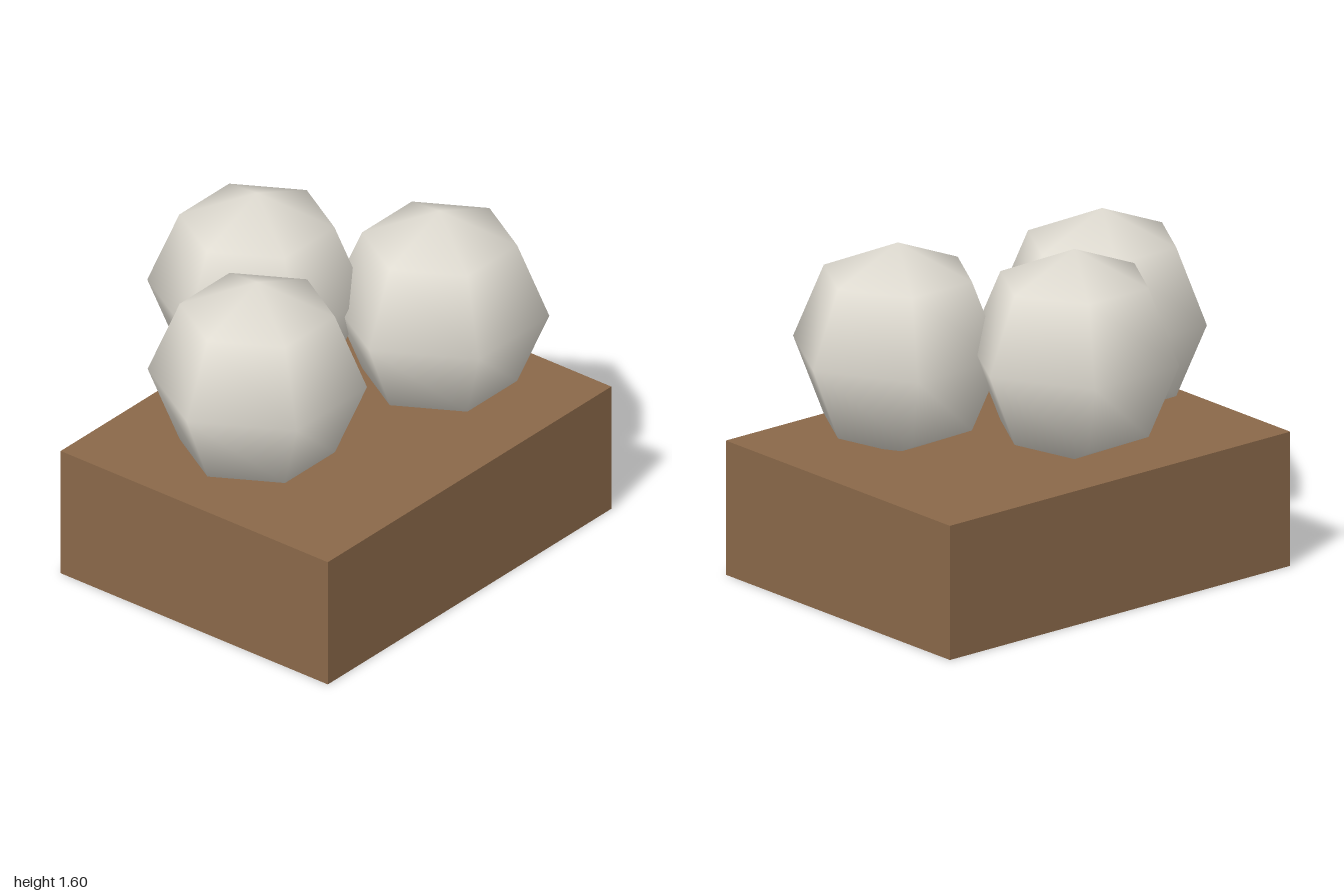
import * as THREE from 'three';

export function createModel() {
  const model = new THREE.Group();
  const brown = new THREE.MeshStandardMaterial({ color: 0x8a6849 });
  brown.name = 'earth brown';
  const stone = new THREE.MeshStandardMaterial({ color: 0xe0dcd2 });
  stone.name = 'pale stone';

  // Base block
  const base = new THREE.Mesh(new THREE.BoxGeometry(1.955, 0.62, 1.51), brown);
  base.name = 'base';
  base.position.set(0.0225, 0.31, 0.055);
  model.add(base);

  // Three smooth-shaded low-poly balls, the front two slightly sunk into the block
  const ballGeometry = new THREE.SphereGeometry(0.486, 6, 4);
  const balls = [
    ['rightBall', -0.514, 1.07, 0.05],
    ['leftBall', 0.466, 1.07, 0.277],
    ['backBall', 0.02, 1.115, -0.39],
  ];
  for (const [name, x, y, z] of balls) {
    const ball = new THREE.Mesh(ballGeometry, stone);
    ball.name = name;
    ball.position.set(x, y, z);
    model.add(ball);
  }
  return model;
}
